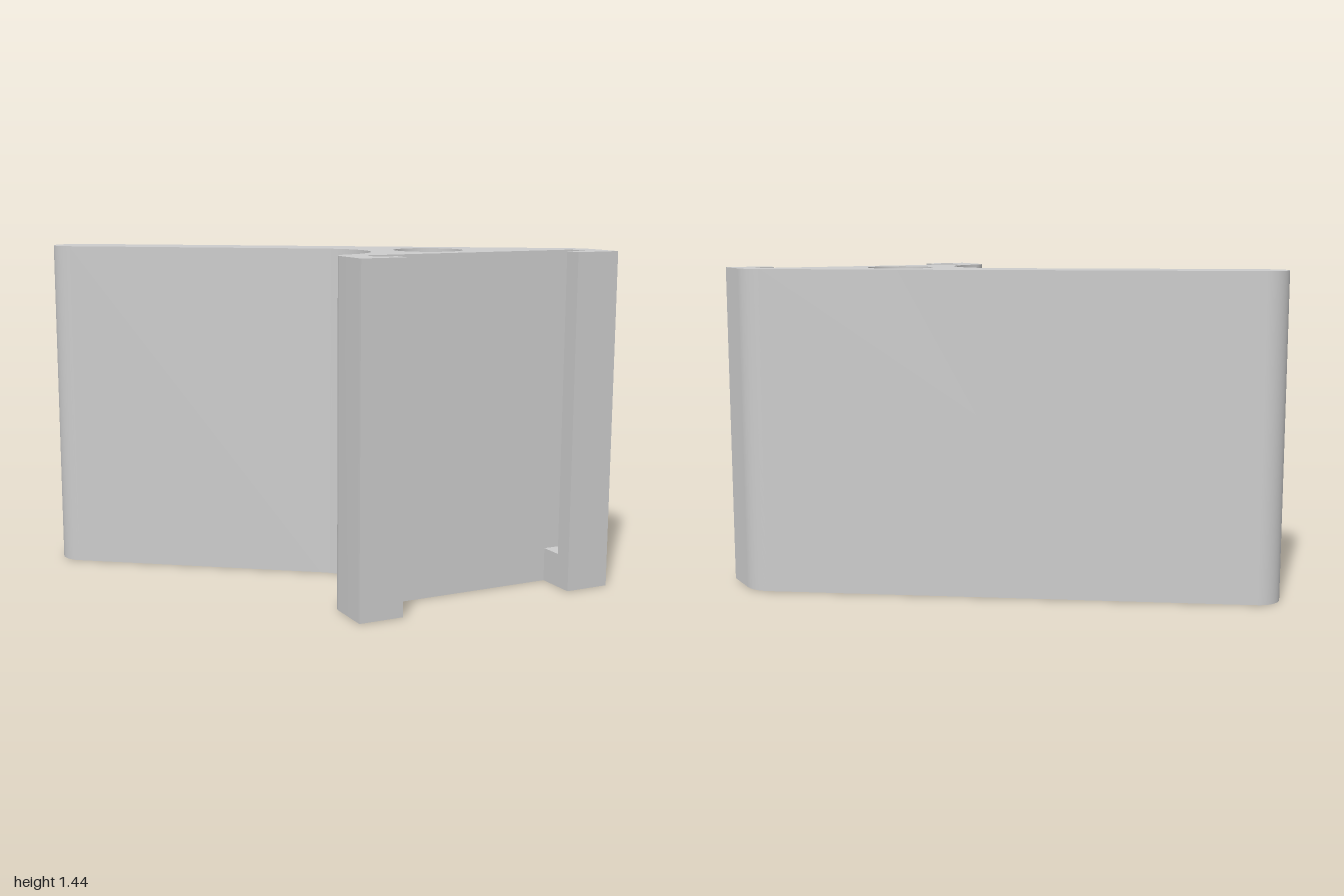
import * as THREE from 'three';
import { toCreasedNormals } from 'three/addons/utils/BufferGeometryUtils.js';

const HEIGHT = 1.44;
const STOP_HEIGHT = 0.145;

// Plan coordinates are (x, z); the shape plane uses -z as its second axis.
const plan = (x, z) => new THREE.Vector2(x, -z);

function arc(cx, cz, r, startDeg, endDeg, steps = 32) {
  const points = [];
  for (let i = 0; i <= steps; i++) {
    const a = THREE.MathUtils.degToRad(startDeg + (endDeg - startDeg) * i / steps);
    points.push(plan(cx + r * Math.cos(a), cz + r * Math.sin(a)));
  }
  return points;
}

export function createModel() {
  const group = new THREE.Group();
  group.name = 'angledBracket';
  const material = new THREE.MeshStandardMaterial({ color: 0xcccccc });

  // Slanted arm, concave throat and clip base as one plan outline
  const outline = [
    ...arc(0.86, 0.602, 0.14, 0, -55),       // rounded heel
    ...arc(-0.895, -0.67, 0.105, -55, -235), // arm tip
    ...arc(-0.17, 0.27, 0.245, -55, 81),     // throat
    ...arc(-0.12, 0.59, 0.077, -99, -180),   // rounded toe
    // Clip channel with a slot behind each lip
    ...[[-0.197, 0.773], [0, 0.773], [0, 0.695], [-0.09, 0.695], [-0.09, 0.595],
      [0.89, 0.595], [0.89, 0.695], [0.8, 0.695], [0.8, 0.773], [1, 0.773]]
      .map(([x, z]) => plan(x, z)),
  ];
  const shape = new THREE.Shape(outline);
  shape.holes.push(new THREE.Path(arc(0.33, 0.36, 0.145, 0, 360, 64).slice(0, -1)));

  const bodyGeometry = new THREE.ExtrudeGeometry(shape, { depth: HEIGHT, bevelEnabled: false });
  bodyGeometry.rotateX(-Math.PI / 2);
  const body = new THREE.Mesh(toCreasedNormals(bodyGeometry, Math.PI / 6), material);
  body.name = 'bracketBody';
  group.add(body);

  // Blocks closing the lower end of each slot
  for (const [name, x] of [['rightSlotStop', -0.045], ['leftSlotStop', 0.845]]) {
    const stop = new THREE.Mesh(new THREE.BoxGeometry(0.09, STOP_HEIGHT, 0.1), material);
    stop.name = name;
    stop.position.set(x, STOP_HEIGHT / 2, 0.645);
    group.add(stop);
  }
  return group;
}
